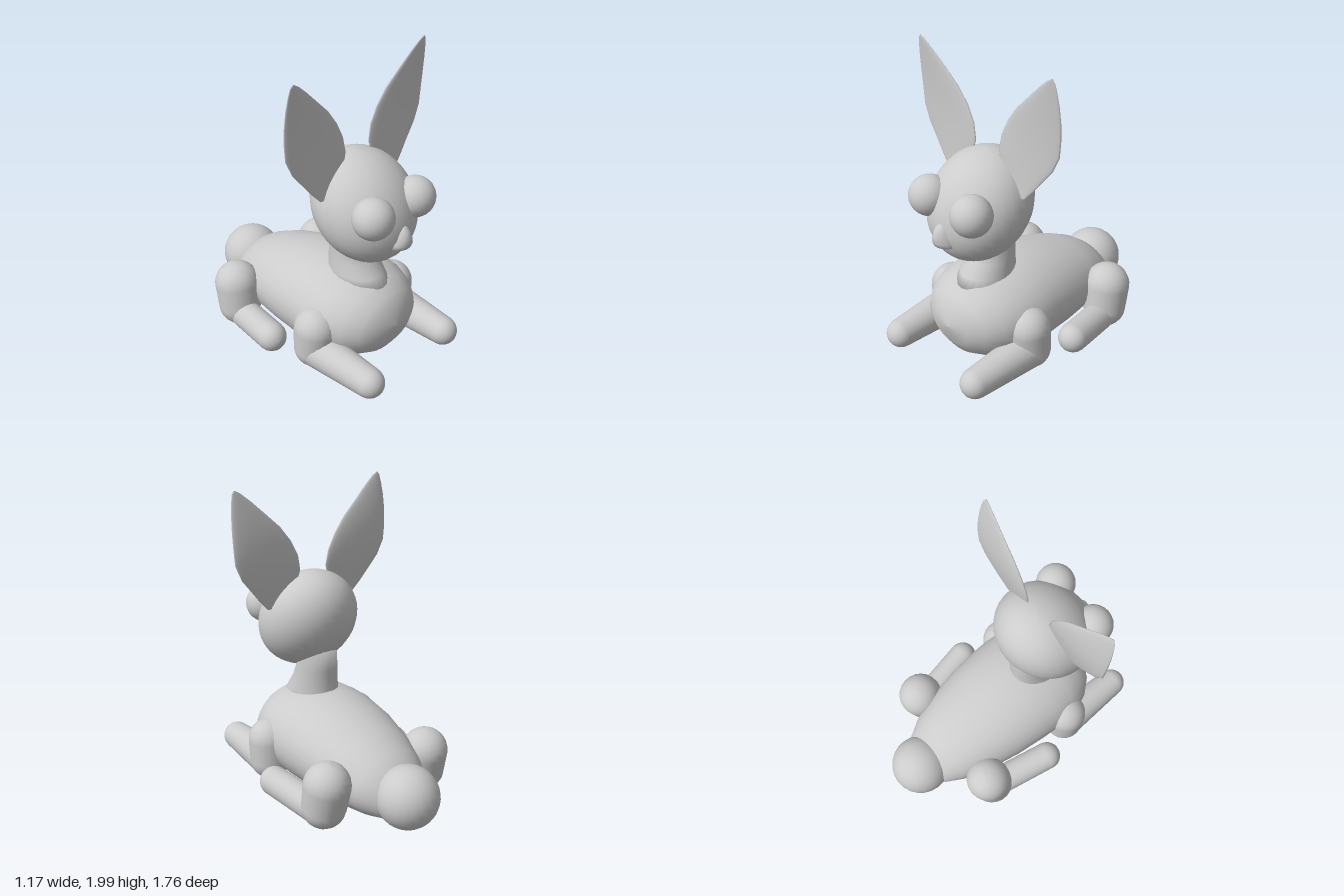
import * as THREE from 'three';

const material = new THREE.MeshStandardMaterial({ color: 0xcccccc });

function add(parent, name, geometry) {
  const mesh = new THREE.Mesh(geometry, material);
  mesh.name = name;
  parent.add(mesh);
  return mesh;
}

// Closed skin over elliptical rings stacked up y; rows are [y, cx, cz, rx, rz]
function loft(rows, n = 24) {
  const pos = [], index = [];
  rows.forEach(([y, cx, cz, rx, rz], i) => {
    for (let j = 0; j < n; j++) {
      const a = (j / n) * Math.PI * 2;
      pos.push(cx + rx * Math.cos(a), y, cz + rz * Math.sin(a));
      if (i === rows.length - 1) continue;
      const k = (j + 1) % n, p = i * n, q = p + n;
      index.push(p + j, q + j, p + k, q + j, q + k, p + k);
    }
  });
  // end caps
  const top = (rows.length - 1) * n;
  for (let j = 1; j < n - 1; j++) index.push(0, j, j + 1, top, top + j + 1, top + j);
  const g = new THREE.BufferGeometry();
  g.setAttribute('position', new THREE.Float32BufferAttribute(pos, 3));
  g.setIndex(index);
  g.computeVertexNormals();
  return g;
}

// Tapered capsule from point a (radius ra) to point b (radius rb)
function limb(a, b, ra, rb) {
  const from = new THREE.Vector3(...a), axis = new THREE.Vector3(...b).sub(from);
  const length = axis.length(), tilt = Math.asin((ra - rb) / length), steps = 7;
  const profile = [];
  for (let i = 0; i <= steps; i++) {
    const t = -Math.PI / 2 + (i / steps) * (Math.PI / 2 + tilt);
    profile.push(new THREE.Vector2(Math.max(0, ra * Math.cos(t)), ra * Math.sin(t)));
  }
  for (let i = 0; i <= steps; i++) {
    const t = tilt + (i / steps) * (Math.PI / 2 - tilt);
    profile.push(new THREE.Vector2(Math.max(0, rb * Math.cos(t)), length + rb * Math.sin(t)));
  }
  const g = new THREE.LatheGeometry(profile, 22);
  g.applyQuaternion(new THREE.Quaternion().setFromUnitVectors(new THREE.Vector3(0, 1, 0), axis.normalize()));
  return g.translate(...a);
}

function ellipsoid(x, y, z, rx, ry, rz) {
  return new THREE.SphereGeometry(1, 24, 16).scale(rx, ry, rz).translate(x, y, z);
}

export function createModel() {
  const model = new THREE.Group();
  model.name = 'lyingAnimal';

  // Body: [z, bottom, top, half width], lofted upright and laid along z
  const bodyRows = [
    [-0.68, 0.2, 0.24, 0.02], [-0.62, 0.07, 0.38, 0.2], [-0.5, 0.04, 0.465, 0.27],
    [-0.35, 0.025, 0.535, 0.325], [-0.1, 0.015, 0.61, 0.375], [0.1, 0.01, 0.64, 0.395],
    [0.25, 0.015, 0.638, 0.405], [0.4, 0.035, 0.625, 0.39], [0.52, 0.075, 0.59, 0.34],
    [0.61, 0.13, 0.53, 0.26], [0.665, 0.21, 0.46, 0.16], [0.69, 0.335, 0.335, 0],
  ].map(([z, lo, hi, w]) => [z, 0, -(lo + hi) / 2, w, (hi - lo) / 2]);
  add(model, 'body', loft(bodyRows, 32).rotateX(Math.PI / 2));

  add(model, 'tail', ellipsoid(0, 0.245, -0.68, 0.2, 0.2, 0.2));

  // Neck flares towards the chest
  add(model, 'neck', loft([
    [0.52, 0, 0.36, 0.175, 0.23], [0.62, 0, 0.335, 0.158, 0.192],
    [0.7, 0, 0.305, 0.147, 0.158], [0.78, 0, 0.287, 0.14, 0.138], [0.92, 0, 0.29, 0.135, 0.135],
  ]));

  // Head: ball leaning back at the top, chin forward
  const head = new THREE.SphereGeometry(1, 32, 22);
  const p = head.attributes.position;
  for (let i = 0; i < p.count; i++) {
    const x = p.getX(i), y = p.getY(i), z = p.getZ(i);
    p.setXYZ(i, x * 0.33, 1.095 + y * 0.335, 0.385 + z * 0.315 - y * 0.075);
  }
  head.computeVertexNormals();
  add(model, 'head', head);

  // Nose: rounded triangle
  add(model, 'nose', loft([
    [0.92, 0, 0.66, 0.06, 0.06], [0.932, 0, 0.66, 0.085, 0.08], [0.96, 0, 0.66, 0.083, 0.091],
    [1.0, 0, 0.66, 0.068, 0.09], [1.04, 0, 0.655, 0.052, 0.08], [1.07, 0, 0.645, 0.032, 0.06],
    [1.083, 0, 0.64, 0, 0],
  ], 18));

  // Ear outline: [y, inner x, outer x]
  const earOutline = [
    [1.22, 0.3, 0.33], [1.28, 0.2, 0.385], [1.35, 0.125, 0.44], [1.45, 0.097, 0.52],
    [1.55, 0.115, 0.565], [1.65, 0.165, 0.573], [1.75, 0.24, 0.575], [1.85, 0.345, 0.57],
    [1.93, 0.43, 0.56], [1.98, 0.49, 0.55], [2.0, 0.525, 0.535],
  ];

  for (const [side, s] of [['left', 1], ['right', -1]]) {
    add(model, side + 'Eye', ellipsoid(s * 0.183, 1.165, 0.622, 0.128, 0.127, 0.127));

    // Thin ear, bowed backwards
    add(model, side + 'Ear', loft(earOutline.map(([y, a, b]) => {
      const bow = Math.sin(((y - 1.22) / 0.78) * Math.PI);
      return [y, s * (a + b) / 2, 0.345 - 0.035 * bow, (b - a) / 2, 0.005 + 0.017 * bow];
    })));

    const frontLeg = new THREE.Group();
    frontLeg.name = side + 'FrontLeg';
    add(frontLeg, 'upperLeg', limb([s * 0.36, 0.175, 0.325], [s * 0.355, 0.322, 0.333], 0.132, 0.14));
    add(frontLeg, 'lowerLeg', limb([s * 0.36, 0.17, 0.335], [s * 0.352, 0.155, 0.785], 0.125, 0.095));

    const hindLeg = new THREE.Group();
    hindLeg.name = side + 'HindLeg';
    add(hindLeg, 'thigh', limb([s * 0.395, 0.165, -0.36], [s * 0.388, 0.318, -0.385], 0.142, 0.15));
    add(hindLeg, 'foot', limb([s * 0.415, 0.125, -0.29], [s * 0.487, 0.17, 0.062], 0.098, 0.096));
    model.add(frontLeg, hindLeg);
  }
  return model;
}
